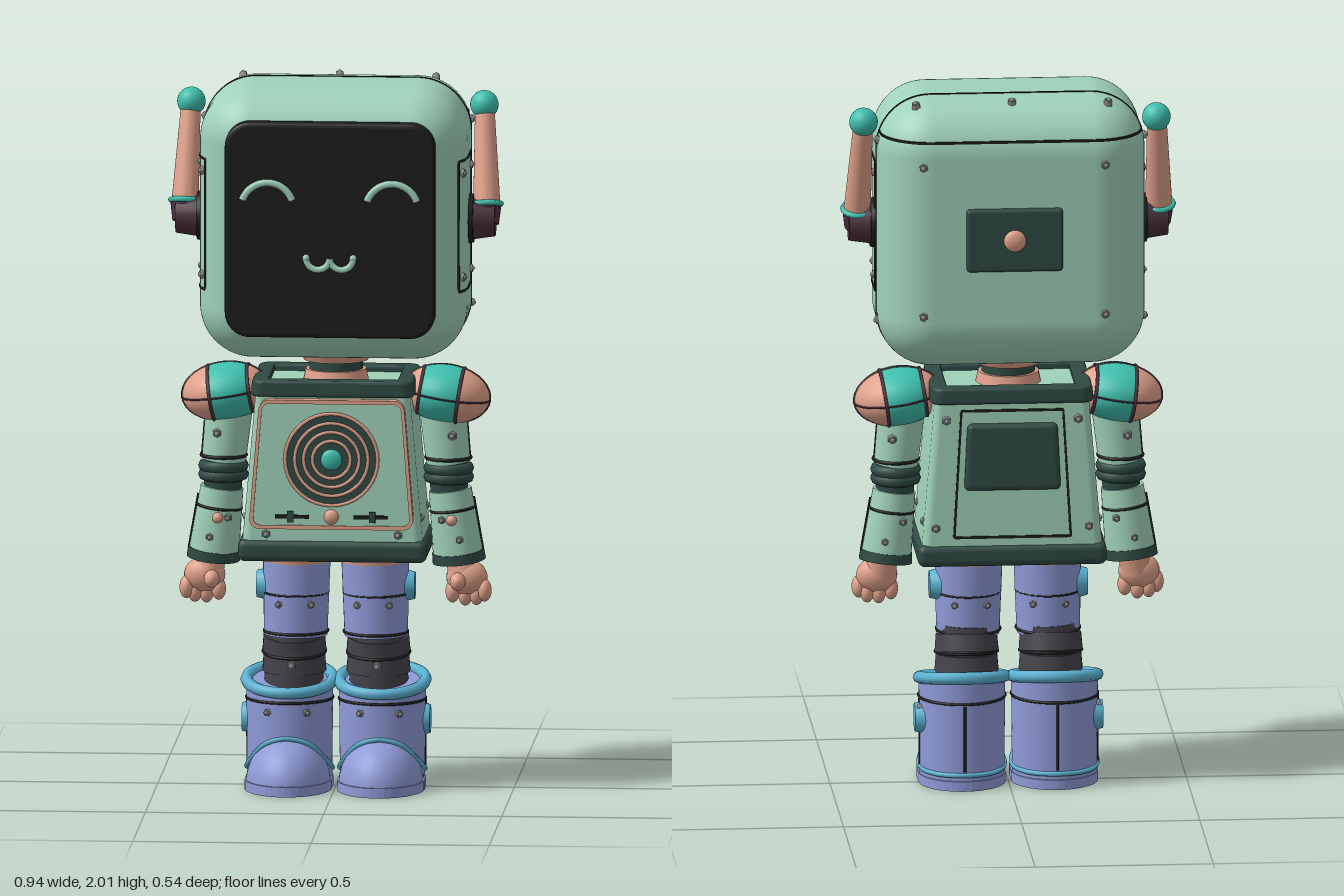
import * as THREE from 'three';
import { RoundedBoxGeometry } from 'three/addons/geometries/RoundedBoxGeometry.js';

const V = (x, y, z) => new THREE.Vector3(x, y, z);
const H = Math.PI / 2;

export function createModel() {
  const M = {};
  const colours = {
    mint: 0xa0d2ba, teal: 0x3fc0ae, salmon: 0xe0a18a, periwinkle: 0x8f9bd8, darkGreen: 0x2f4a43,
    black: 0x1d1d1d, maroon: 0x4a303c, charcoal: 0x47434b, skyBlue: 0x5cb2d2, steel: 0x8c8c8e,
  };
  for (const [name, color] of Object.entries(colours)) {
    M[name] = new THREE.MeshStandardMaterial({ color });
    M[name].name = name;
  }
  const root = new THREE.Group();
  root.name = 'robot';
  const group = (name) => {
    const g = new THREE.Group();
    g.name = name;
    root.add(g);
    return g;
  };

  // Helpers
  const add = (g, name, geo, mat, p = [0, 0, 0], r = [0, 0, 0]) => {
    const m = new THREE.Mesh(geo, M[mat]);
    m.name = name;
    m.position.set(...p);
    m.rotation.set(...r);
    g.add(m);
    return m;
  };
  const aim = (m, dir, from = V(0, 1, 0)) => m.quaternion.setFromUnitVectors(from, dir.clone().normalize());
  const rod = (g, name, mat, a, b, ra, rb, seg = 28) => {
    const d = b.clone().sub(a);
    const m = add(g, name, new THREE.CylinderGeometry(rb, ra, d.length(), seg), mat, a.clone().lerp(b, 0.5).toArray());
    aim(m, d);
    return m;
  };
  const ring = (g, name, mat, p, dir, radius, tube) =>
    aim(add(g, name, new THREE.TorusGeometry(radius, tube, 8, 36), mat, p.toArray()), dir, V(0, 0, 1));
  const ball = (g, name, mat, p, rx, ry = rx, rz = rx) =>
    add(g, name, new THREE.SphereGeometry(1, 24, 16), mat, p).scale.set(rx, ry, rz);
  const rivet = (g, p, dir, r = 0.014) => {
    aim(add(g, 'rivet', new THREE.CylinderGeometry(r * 0.8, r, 0.016, 6), 'steel', p), V(...dir));
    aim(add(g, 'rivetCentre', new THREE.SphereGeometry(r * 0.55, 8, 6), 'steel',
      V(...p).addScaledVector(V(...dir).normalize(), 0.006).toArray()), V(...dir));
  };
  const line = (g, name, mat, pts, r, closed = false) => {
    const path = new THREE.CurvePath();
    pts.forEach((p, i) => {
      if (i < pts.length - 1 || closed) path.add(new THREE.LineCurve3(p, pts[(i + 1) % pts.length]));
    });
    return add(g, name, new THREE.TubeGeometry(path, pts.length * 12, r, 6, closed), mat);
  };
  const rounded = (w, h, r, S = THREE.Shape) => {
    const s = new S(), x = w / 2 - r, y = h / 2 - r;
    s.absarc(x, y, r, 0, H);
    s.absarc(-x, y, r, H, 2 * H);
    s.absarc(-x, -y, r, 2 * H, 3 * H);
    s.absarc(x, -y, r, 3 * H, 4 * H);
    s.closePath();
    return s;
  };
  const plate = (shape, depth, bevel = 0) => new THREE.ExtrudeGeometry(shape, {
    depth, curveSegments: 10, bevelEnabled: bevel > 0, bevelSize: bevel, bevelThickness: bevel, bevelOffset: -bevel, bevelSegments: 3,
  });
  const frame = (w, h, r, t) => {
    const s = rounded(w, h, r);
    s.holes.push(rounded(w - 2 * t, h - 2 * t, Math.max(r - t, 0.002), THREE.Path));
    return s;
  };

  // Head shell, seams and screen
  const head = group('head');
  add(head, 'headShell', new RoundedBoxGeometry(0.75, 0.77, 0.48, 10, 0.15), 'mint', [0, 1.615, 0]);
  add(head, 'headSeam', plate(rounded(0.754, 0.774, 0.152), 0.008), 'black', [0, 1.615, -0.069]);
  const cap = new THREE.Shape();
  cap.moveTo(0.368, 0.065);
  cap.lineTo(0.368, 0.092);
  cap.absarc(0.225, 0.092, 0.143, 0, H);
  cap.absarc(-0.225, 0.092, 0.143, H, 2 * H);
  cap.lineTo(-0.368, 0.065);
  add(head, 'backSeam', plate(cap, 0.007), 'black', [0, 1.896, 0], [-H, 0, 0]);
  add(head, 'screen', plate(rounded(0.59, 0.61, 0.07), 0.03, 0.012), 'black', [0, 1.615, 0.218]);
  for (const s of [-1, 1]) {
    add(head, 'eye', new THREE.TorusGeometry(0.074, 0.01, 8, 24, Math.PI * 0.78), 'mint', [s * 0.175, 1.676, 0.26], [0, 0, Math.PI * 0.11]);
    add(head, 'mouthCurve', new THREE.TorusGeometry(0.033, 0.009, 8, 18, Math.PI), 'mint', [s * 0.033, 1.538, 0.26], [0, 0, Math.PI]);
    ball(head, 'mouthEnd', 'mint', [s * 0.066, 1.538, 0.26], 0.01);
  }

  // Head back plate and bolts
  add(head, 'backPlate', new RoundedBoxGeometry(0.27, 0.18, 0.04, 3, 0.01), 'darkGreen', [0, 1.62, -0.237]);
  ball(head, 'backButton', 'salmon', [0, 1.62, -0.257], 0.031, 0.031, 0.016);
  for (const x of [-0.27, 0, 0.27]) rivet(head, [x, x ? 1.988 : 1.993, -0.145], [x * 0.8, 1, -0.35]);
  for (const s of [-1, 1]) for (const y of [1.4, 1.83]) rivet(head, [s * 0.255, y, -0.237], [s * 0.2, 0, -1]);

  // Side panels and antennae
  const sideX = (z) => 0.225 + Math.sqrt(0.15 ** 2 - Math.max(0, Math.abs(z) - 0.09) ** 2);
  for (const s of [-1, 1]) {
    const side = group(s > 0 ? 'leftAntenna' : 'rightAntenna');
    const zs = [-0.035, 0.05, 0.09, 0.13, 0.165];
    const edge = (y) => zs.map((z) => V(s * sideX(z), y, z));
    line(side, 'panelOutline', 'black', [...edge(1.43), ...edge(1.8).reverse()], 0.004, true);
    for (const y of [1.47, 1.765]) for (const z of [-0.01, 0.145]) rivet(side, [s * sideX(z), y, z], [s, 0, z > 0 ? 0.35 : 0]);
    for (const y of [1.36, 1.88]) rivet(side, [s * 0.372, y, -0.095], [s, y > 1.6 ? 0.2 : -0.2, 0]);
    rod(side, 'pivotDisc', 'black', V(s * 0.36, 1.615, 0.01), V(s * 0.388, 1.615, 0.01), 0.074, 0.068);
    rod(side, 'pivot', 'maroon', V(s * 0.38, 1.615, 0.01), V(s * 0.448, 1.615, 0.01), 0.06, 0.05);
    const a = V(s * 0.423, 1.655, 0.005), b = V(s * 0.413, 1.9, -0.063), d = b.clone().sub(a);
    rod(side, 'socket', 'maroon', V(s * 0.424, 1.6, 0.02), a, 0.034, 0.042);
    ring(side, 'collar', 'teal', a, d, 0.04, 0.008);
    rod(side, 'antenna', 'salmon', a, b, 0.038, 0.028);
    ball(side, 'antennaTip', 'teal', [s * 0.411, 1.925, -0.07], 0.04);
  }

  // Torso, narrowed towards the top
  const torso = group('torso');
  const taper = (geo, x, y, z) => {
    geo.translate(x, y, z);
    const p = geo.attributes.position;
    for (let i = 0; i < p.count; i++) {
      const h = p.getY(i) - 0.69;
      p.setX(i, p.getX(i) * (1 - 0.34 * h));
      p.setZ(i, p.getZ(i) * (1 - 0.13 * h));
    }
    geo.computeVertexNormals();
    return geo;
  };
  add(torso, 'body', taper(new RoundedBoxGeometry(0.51, 0.48, 0.33, 4, 0.025), 0, 0.915, 0), 'mint');
  add(torso, 'topTrim', taper(plate(frame(0.54, 0.36, 0.04, 0.055), 0.03, 0.008).rotateX(-H), 0, 1.135, 0), 'darkGreen');
  add(torso, 'bottomTrim', new RoundedBoxGeometry(0.53, 0.062, 0.35, 4, 0.02), 'darkGreen', [0, 0.69, 0]);
  add(torso, 'chestPanel', taper(plate(rounded(0.47, 0.36, 0.03), 0.03), 0, 0.94, 0.165), 'mint');
  add(torso, 'chestFrame', taper(plate(frame(0.475, 0.365, 0.032, 0.011), 0.03), 0, 0.94, 0.17), 'salmon');
  rod(torso, 'speaker', 'darkGreen', V(0, 0.955, 0.17), V(0, 0.955, 0.192), 0.13, 0.13, 40);
  for (const r of [0.13, 0.103, 0.078, 0.053]) ring(torso, 'speakerRing', 'salmon', V(0, 0.955, 0.191), V(0, 0, 1), r, 0.005);
  ball(torso, 'speakerCentre', 'teal', [0, 0.955, 0.19], 0.03, 0.03, 0.015);
  ball(torso, 'chestButton', 'salmon', [0, 0.793, 0.194], 0.021, 0.021, 0.014);
  for (const s of [-1, 1]) {
    add(torso, 'slider', new THREE.BoxGeometry(0.095, 0.01, 0.008), 'black', [s * 0.11, 0.793, 0.195]);
    add(torso, 'sliderKnob', new THREE.BoxGeometry(0.018, 0.03, 0.012), 'darkGreen', [s * 0.115, 0.793, 0.196]);
    rivet(torso, [s * 0.185, 0.738, 0.166], [0, 0, 1]);
    for (const y of [0.77, 1.08]) rivet(torso, [s * (y > 1 ? 0.185 : 0.215), y, -0.162], [0, 0, -1]);
    for (const z of [-0.11, 0.11]) rivet(torso, [s * 0.243, 0.78, z], [s, 0.3, 0]);
  }

  // Torso back hatch
  add(torso, 'hatchOutline', taper(plate(frame(0.34, 0.37, 0.008, 0.007), 0.006), 0, 0.925, -0.169), 'black');
  add(torso, 'backPack', taper(new RoundedBoxGeometry(0.29, 0.19, 0.05, 3, 0.015), 0, 0.975, -0.162), 'darkGreen');

  // Neck
  const neck = group('neck');
  rod(neck, 'neckBase', 'salmon', V(0, 1.14, 0), V(0, 1.185, 0), 0.095, 0.085);
  rod(neck, 'neckTube', 'darkGreen', V(0, 1.17, 0), V(0, 1.225, 0), 0.075, 0.075);
  rod(neck, 'neckCollar', 'salmon', V(0, 1.21, 0), V(0, 1.25, 0), 0.09, 0.11);

  for (const s of [-1, 1]) {
    // Banded shoulder
    const arm = group(s > 0 ? 'leftArm' : 'rightArm');
    const shoulder = new THREE.Group();
    shoulder.name = 'shoulder';
    shoulder.position.set(s * 0.31, 1.115, 0);
    shoulder.rotation.z = -s * (H + 0.15);
    shoulder.scale.set(0.083, 0.122, 0.115);
    arm.add(shoulder);
    const bands = [[0, 1.25, 'salmon'], [1.25, 2.2, 'teal'], [2.2, Math.PI, 'salmon']];
    for (const [t0, t1, mat] of bands)
      add(shoulder, 'shoulderBand', new THREE.SphereGeometry(1, 32, 10, 0, 2 * Math.PI, t0, t1 - t0), mat);
    for (const t of [1.25, 2.2])
      add(shoulder, 'shoulderLine', new THREE.TorusGeometry(Math.sin(t), 0.045, 6, 36), 'maroon', [0, Math.cos(t), 0], [H, 0, 0]);
    add(shoulder, 'shoulderSeam', new THREE.TorusGeometry(1, 0.035, 6, 36), 'maroon');
    add(shoulder, 'shoulderSeam', new THREE.TorusGeometry(1, 0.035, 6, 36), 'maroon', [0, 0, 0], [0, H, 0]);

    // Upper arm, elbow and forearm
    const top = V(s * 0.3, 1.07, 0), elbowTop = V(s * 0.315, 0.92, 0);
    rod(arm, 'upperArm', 'mint', top, elbowTop, 0.066, 0.062);
    ring(arm, 'upperArmLine', 'black', V(s * 0.315, 0.935, 0), V(0, 1, 0), 0.063, 0.005);
    rod(arm, 'elbow', 'darkGreen', V(s * 0.315, 0.93, 0), V(s * 0.318, 0.82, 0), 0.056, 0.052);
    for (const y of [0.905, 0.88]) ring(arm, 'elbowRing', 'darkGreen', V(s * 0.316, y, 0), V(0, 1, 0), 0.054, 0.017);
    const wrist = V(s * 0.343, 0.655, -0.004);
    rod(arm, 'forearm', 'mint', V(s * 0.32, 0.845, 0), wrist, 0.06, 0.071);
    const down = wrist.clone().sub(V(s * 0.32, 0.845, 0));
    ring(arm, 'forearmLine', 'black', V(s * 0.328, 0.79, -0.001), down, 0.063, 0.004);
    rod(arm, 'cuff', 'darkGreen', V(s * 0.342, 0.67, -0.003), V(s * 0.345, 0.642, -0.005), 0.073, 0.075);
    for (const z of [-1, 1]) {
      line(arm, 'armSeam', 'black', [V(s * 0.387, 0.84 - 0.015, 0), V(s * 0.414, 0.67, 0)], 0.003);
      rivet(arm, [s * 0.33, 1.005, z * 0.065], [0, 0, z]);
      rivet(arm, [s * 0.35, 0.71, z * 0.067], [0, 0, z], 0.012);
      rivet(arm, [s * 0.3, 0.765, z * 0.062], [0, 0, z], 0.012);
    }
    ball(arm, 'forearmButton', 'salmon', [s * 0.328, 0.765, 0.062], 0.015);
    line(arm, 'upperArmSeam', 'black', [V(s * 0.368, 1.04, 0), V(s * 0.377, 0.93, 0)], 0.003);

    // Hand
    rod(arm, 'wrist', 'salmon', V(s * 0.35, 0.66, 0), V(s * 0.36, 0.6, 0.01), 0.042, 0.045);
    ball(arm, 'palm', 'salmon', [s * 0.368, 0.597, 0.012], 0.058, 0.05, 0.045);
    const fingers = [[0.418, 0.562, 0.022], [0.395, 0.55, 0.012], [0.363, 0.548, 0.008], [0.328, 0.557, 0.014]];
    for (const [x, y, z] of fingers) ball(arm, 'finger', 'salmon', [s * x, y, z], 0.02, 0.032, 0.026);
    ball(arm, 'thumb', 'salmon', [s * 0.345, 0.592, 0.062], 0.022, 0.025, 0.03);

    // Thigh and knee
    const leg = group(s > 0 ? 'leftLeg' : 'rightLeg');
    const x = s * 0.11, fx = s * 0.13, up = V(0, 1, 0);
    rod(leg, 'hip', 'salmon', V(x, 0.635, 0.005), V(x, 0.67, 0.005), 0.094, 0.1);
    rod(leg, 'thigh', 'periwinkle', V(s * 0.113, 0.43, 0.005), V(x, 0.65, 0.005), 0.089, 0.095);
    for (const y of [0.55, 0.44]) ring(leg, 'thighLine', 'black', V(s * 0.112, y, 0.005), up, 0.0895, 0.004);
    rod(leg, 'hipDisc', 'skyBlue', V(s * 0.19, 0.57, 0), V(s * 0.222, 0.57, 0), 0.046, 0.038);
    for (const z of [-1, 1]) for (const dx of [-0.045, 0.045]) rivet(leg, [x + dx, 0.525, 0.005 + z * 0.081], [dx * 6, 0, z], 0.012);
    rod(leg, 'knee', 'charcoal', V(s * 0.12, 0.28, -0.012), V(s * 0.115, 0.46, -0.008), 0.083, 0.08);
    for (const y of [0.35, 0.405])
      add(leg, 'kneeFold', new THREE.CylinderGeometry(0.086, 0.09, 0.05, 28), 'charcoal', [s * 0.118, y, -0.014], [y > 0.4 ? 0.2 : 0.05, 0, 0]);
    ring(leg, 'kneeLine', 'black', V(s * 0.118, 0.379, -0.014), V(0, 1, 0.12), 0.088, 0.004);
    rivet(leg, [s * 0.12, 0.35, 0.076], [0, 0, 1]);

    // Boot with a slanted top edge
    const shaft = new THREE.CylinderGeometry(0.122, 0.119, 0.29, 36, 6);
    const p = shaft.attributes.position;
    for (let i = 0; i < p.count; i++) if (p.getY(i) > 0.12) p.setY(i, p.getY(i) - 0.2 * p.getZ(i));
    add(leg, 'bootShaft', shaft, 'periwinkle', [fx, 0.155, 0]);
    ring(leg, 'bootRim', 'skyBlue', V(fx, 0.302, 0), V(0, 1, 0.2), 0.121, 0.017);
    ring(leg, 'bootLine', 'black', V(fx, 0.25, 0), up, 0.1215, 0.004);
    const toe = new THREE.SphereGeometry(1, 32, 12, 0, 2 * Math.PI, 0, H);
    add(leg, 'toe', toe, 'periwinkle', [fx, 0.015, 0.06]).scale.set(0.119, 0.138, 0.155);
    const sole = new THREE.Shape();
    sole.absellipse(0, -0.06, 0.122, 0.16, Math.PI, 2 * Math.PI);
    sole.absellipse(0, 0, 0.122, 0.125, 0, Math.PI);
    add(leg, 'sole', plate(sole, 0.028), 'periwinkle', [fx, 0, 0], [-H, 0, 0]);
    const trim = [[0, 0.15, 0.118], [0.06, 0.133, 0.106], [0.1, 0.09, 0.068], [0.12, 0.052, 0.005], [0.085, 0.045, -0.085], [0, 0.045, -0.12]];
    const half = trim.slice(1, 5).reverse().map(([a, b, c]) => V(fx - a, b, c));
    const loop = new THREE.CatmullRomCurve3([...trim.map(([a, b, c]) => V(fx + a, b, c)), ...half], true);
    add(leg, 'bootTrim', new THREE.TubeGeometry(loop, 60, 0.007, 8, true), 'skyBlue');
    rod(leg, 'ankleDisc', 'skyBlue', V(s * 0.235, 0.19, -0.012), V(s * 0.264, 0.19, -0.012), 0.047, 0.04);
    line(leg, 'bootSeam', 'black', [V(s * 0.25, 0.245, -0.012), V(s * 0.249, 0.055, -0.012)], 0.004);
    line(leg, 'heelSeam', 'black', [V(fx, 0.245, -0.121), V(fx, 0.055, -0.119)], 0.004);
    for (const dx of [-0.055, 0.055]) rivet(leg, [fx + dx, 0.222, 0.109], [dx * 8, 0, 1], 0.012);
    rivet(leg, [s * 0.25, 0.222, -0.03], [s, 0, 0], 0.012);
  }
  return root;
}
